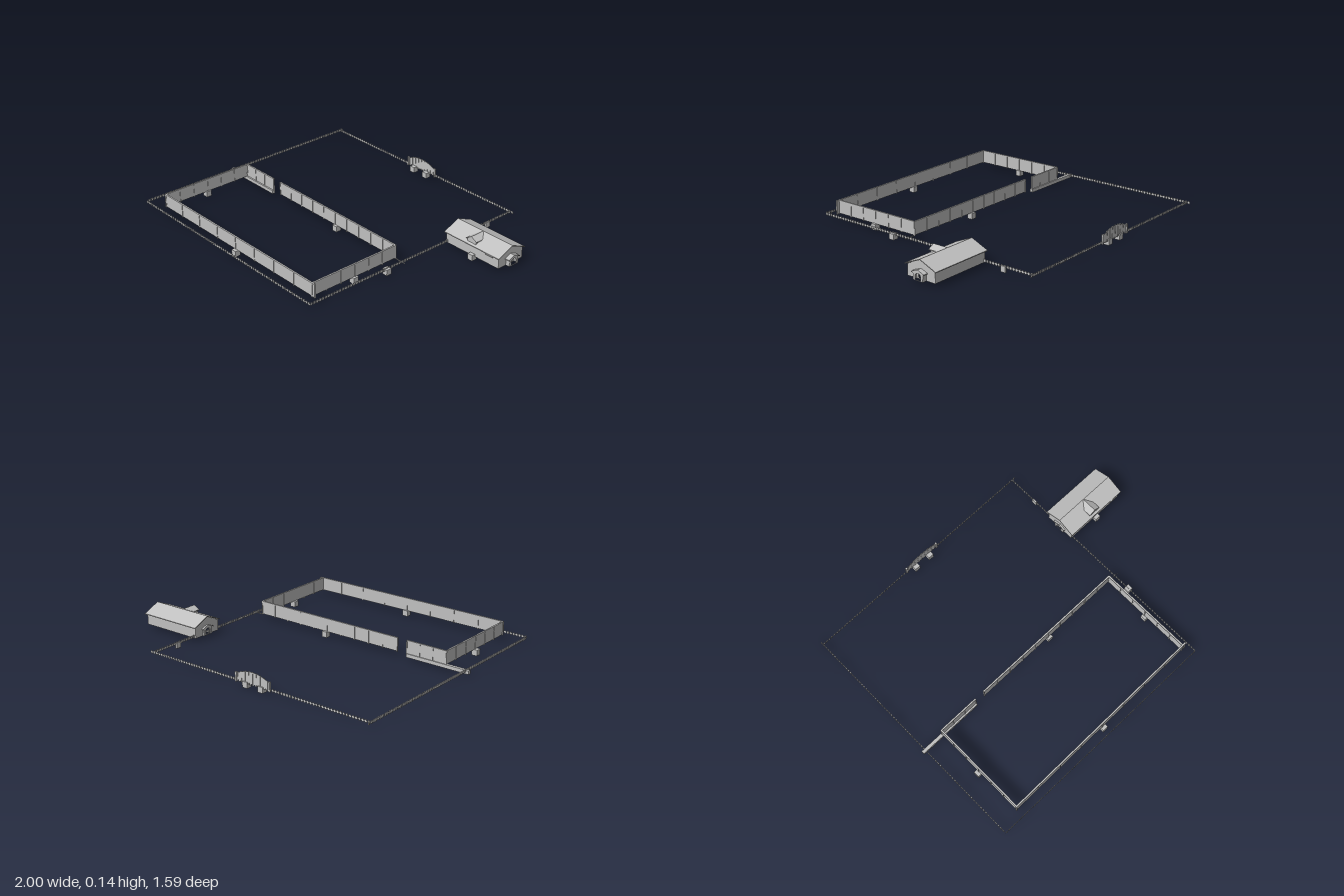
import * as THREE from 'three';

const grey = new THREE.MeshStandardMaterial({ color: 0xc0c0c0, flatShading: true, side: THREE.DoubleSide });
grey.name = 'plain grey';

function add(parent, name, geometry, x = 0, y = 0, z = 0) {
  const mesh = new THREE.Mesh(geometry, grey);
  mesh.name = name;
  mesh.position.set(x, y, z);
  parent.add(mesh);
  return mesh;
}

// Box given by its lower and upper limits on each axis
function block(parent, name, x0, x1, y0, y1, z0, z1) {
  return add(parent, name, new THREE.BoxGeometry(x1 - x0, y1 - y0, z1 - z0),
    (x0 + x1) / 2, (y0 + y1) / 2, (z0 + z1) / 2);
}

function group(parent, name) {
  const g = new THREE.Group();
  g.name = name;
  parent.add(g);
  return g;
}

// A straight run along local x, placed between two ground points
function run(parent, name, x0, z0, x1, z1) {
  const g = group(parent, name);
  g.position.set(x0, 0, z0);
  g.rotation.y = -Math.atan2(z1 - z0, x1 - x0);
  return [g, Math.hypot(x1 - x0, z1 - z0)];
}

// Tall panelled wall with posts and a cap rail
function wall(parent, name, x0, z0, x1, z1, spacing) {
  const [g, length] = run(parent, name, x0, z0, x1, z1);
  block(g, 'panel', 0, length, 0.034, 0.114, -0.002, 0.002);
  block(g, 'capRail', 0, length, 0.112, 0.118, -0.005, 0.005);
  const n = Math.max(1, Math.round(length / spacing));
  for (let i = 0; i <= n; i++) {
    const x = (i / n) * length;
    block(g, 'post', x - 0.003, x + 0.003, 0.03, 0.117, -0.005, 0.005);
  }
}

// Low boundary fence made of short boards
function fence(parent, name, x0, z0, x1, z1, depth) {
  const [g, length] = run(parent, name, x0, z0, x1, z1);
  const n = Math.round(length / 0.02);
  const boards = new THREE.InstancedMesh(new THREE.BoxGeometry(0.012, 0.016, depth), grey, 0);
  boards.dispose();
  for (let i = 0; i < n; i++) {
    const x = ((i + 0.5) / n) * length;
    block(g, 'board', x - 0.006, x + 0.006, 0.024, 0.041, -depth / 2, depth / 2);
  }
  block(g, 'rail', 0, length, 0.03, 0.035, -0.0005, 0.0005);
}

// Upright outline in the x-y plane, pulled along z
function extrude(points, depth, hole) {
  const shape = new THREE.Shape(points.map(p => new THREE.Vector2(...p)));
  if (hole) shape.holes.push(hole);
  return new THREE.ExtrudeGeometry(shape, { depth, bevelEnabled: false, curveSegments: 8 });
}

// Two roof slopes seen end-on: half width w, eaves y0, ridge y1, thickness t
function roofOutline(w, y0, y1, t) {
  return [[-w, y0], [0, y1], [w, y0], [w, y0 - t], [0, y1 - t], [-w, y0 - t]];
}

function archHole(w, y0, y1) {
  const p = new THREE.Path();
  p.moveTo(-w, y0);
  p.lineTo(-w, y1);
  p.absarc(0, y1, w, Math.PI, 0, true);
  p.lineTo(w, y0);
  p.closePath();
  return p;
}

// Gabled entry on an end wall; dir is the outward x direction
function porch(parent, name, x, z, depth, dir) {
  const g = group(parent, name);
  g.position.set(x, 0, z);
  g.rotation.y = dir * Math.PI / 2;
  add(g, 'porchRoof', extrude(roofOutline(0.045, 0.066, 0.083, 0.006), depth));
  add(g, 'porchFront', extrude([[-0.034, 0.02], [-0.034, 0.066], [0, 0.078], [0.034, 0.066], [0.034, 0.02]],
    0.003, archHole(0.02, 0.022, 0.042)), 0, 0, depth - 0.006);
  for (const s of [-1, 1])
    block(g, 'porchSide', s * 0.034 - 0.002, s * 0.034 + 0.002, 0.02, 0.066, 0, depth - 0.004);
}

function house(parent) {
  const g = group(parent, 'house');
  const zc = -0.34;
  for (const z of [-0.436, -0.244])
    block(g, 'longWall', 0.564, 0.97, 0.02, 0.09, z - 0.002, z + 0.002);
  // Gable ends, open underneath
  for (const x of [0.564, 0.966]) {
    const end = add(g, 'gableWall', extrude(
      [[-0.096, 0.02], [-0.096, 0.088], [0, 0.132], [0.096, 0.088], [0.096, 0.02]], 0.004,
      archHole(0.018, 0.022, 0.042)), x, 0, zc);
    end.rotation.y = Math.PI / 2;
  }
  const roof = add(g, 'roof', extrude(roofOutline(0.11, 0.09, 0.137, 0.005), 0.422), 0.558, 0, zc);
  roof.rotation.y = Math.PI / 2;
  // Dormer on the front slope
  add(g, 'dormerRoof', extrude(roofOutline(0.04, 0.116, 0.138, 0.004), 0.095), 0.76, 0, -0.335);
  add(g, 'dormerBody', extrude([[-0.032, 0.095], [-0.032, 0.117], [0, 0.134], [0.032, 0.117], [0.032, 0.095]],
    0.07), 0.76, 0, -0.315);
  // Window hood on the front wall
  block(g, 'windowHood', 0.88, 0.935, 0.08, 0.085, -0.242, -0.226);
  porch(g, 'leftPorch', 0.97, zc, 0.03, 1);
  porch(g, 'rightPorch', 0.566, zc, 0.014, -1);
}

// Arched double gate with pickets rising to the middle
function archedGate(parent) {
  const g = group(parent, 'archedGate');
  g.position.set(-0.1875, 0, -0.775);
  const top = x => 0.102 - 0.032 * (x / 0.12) ** 2;
  const pts = [[-0.12, 0.035]];
  for (let i = 0; i <= 12; i++) pts.push([-0.12 + i * 0.02, top(-0.12 + i * 0.02)]);
  pts.push([0.12, 0.035]);
  add(g, 'gatePanel', extrude(pts, 0.003), 0, 0, -0.0015);
  for (let i = -4; i <= 4; i++)
    block(g, 'picket', i * 0.027 - 0.002, i * 0.027 + 0.002, 0.03, top(i * 0.027) + 0.002, -0.004, 0.004);
  for (const s of [-1, 1])
    block(g, 'gatePost', s * 0.12 - 0.006, s * 0.12 + 0.006, 0.02, 0.078, -0.006, 0.006);
}

export function createModel() {
  const model = new THREE.Group();
  model.name = 'walledYard';

  // Walled enclosure with a gap at the back
  const yard = group(model, 'enclosure');
  wall(yard, 'frontWall', -0.845, 0.737, 0.54, 0.728, 0.174);
  wall(yard, 'leftWall', 0.52, 0.12, 0.52, 0.73, 0.1);
  wall(yard, 'rightWall', -0.845, 0.12, -0.842, 0.737, 0.1);
  wall(yard, 'backWallLong', -0.51, 0.12, 0.52, 0.12, 0.103);
  wall(yard, 'backWallShort', -0.845, 0.12, -0.578, 0.12, 0.09);
  block(yard, 'longBeam', -1, -0.577, 0.014, 0.036, 0.112, 0.132);
  block(yard, 'shortRail', 0.52, 0.6, 0.028, 0.034, 0.119, 0.121);

  // Low boundary fence
  const boundary = group(model, 'boundaryFence');
  fence(boundary, 'frontFence', -0.98, 0.79, 0.575, 0.79, 0.003);
  fence(boundary, 'backFence', -0.98, -0.775, 0.6, -0.775, 0.003);
  fence(boundary, 'leftFence', 0.575, -0.775, 0.575, 0.79, 0.004);
  fence(boundary, 'rightFence', -0.98, -0.797, -0.98, 0.78, 0.005);

  house(model);
  archedGate(model);

  // Marker cubes along the walls, gate, fence and house
  const markers = group(model, 'markerCubes');
  const spots = [[-0.245, -0.765], [-0.135, -0.765], [0.015, 0.12], [-0.85, 0.43], [0.52, 0.43],
    [-0.145, 0.738], [0.575, 0.235], [0.775, -0.237]];
  for (const [x, z] of spots) block(markers, 'markerCube', x - 0.018, x + 0.018, 0, 0.036, z - 0.018, z + 0.018);
  block(markers, 'markerPlate', 0.57, 0.582, 0, 0.036, -0.592, -0.558);

  return model;
}
